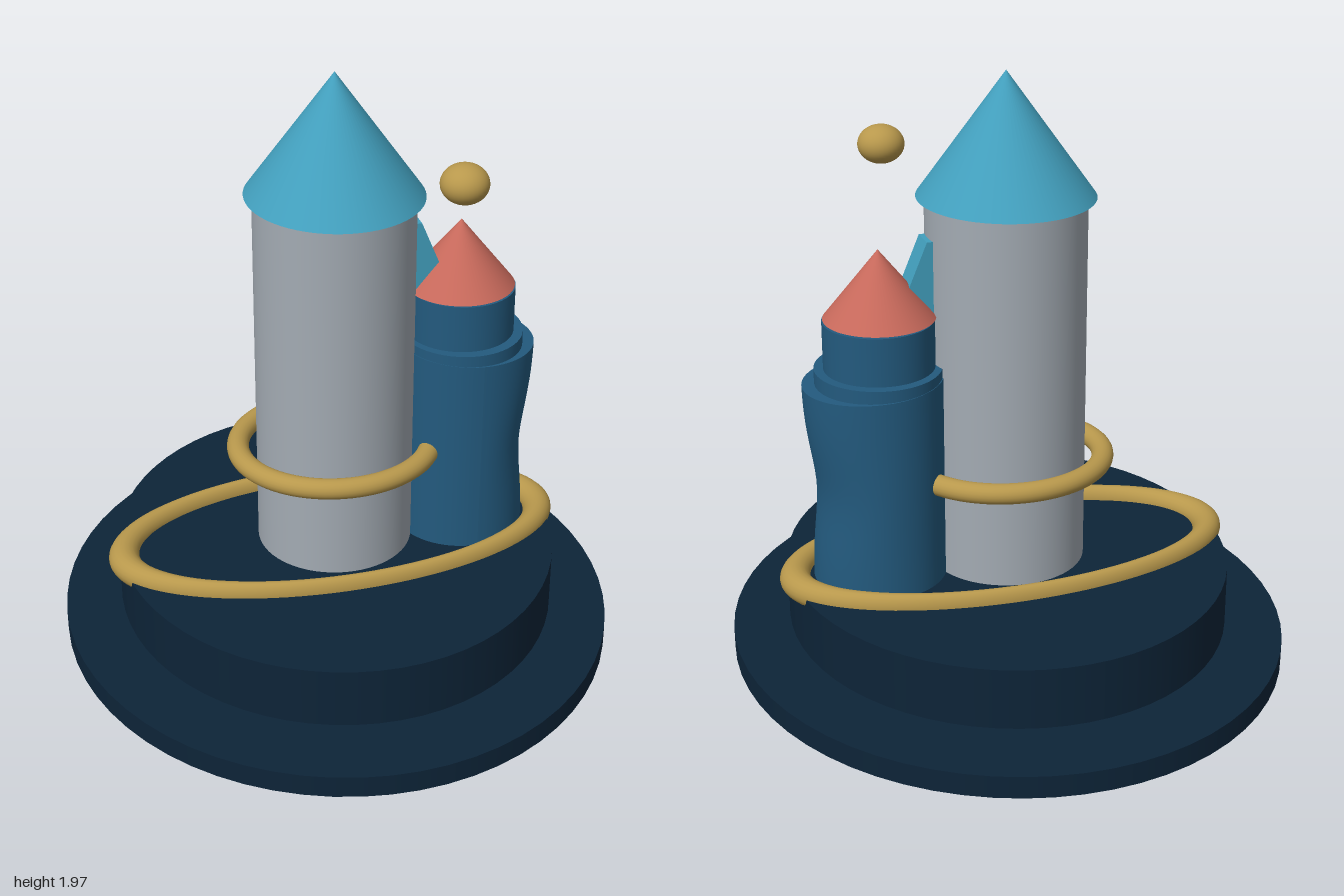
import * as THREE from 'three';

const mat = (name, color) => {
  const m = new THREE.MeshStandardMaterial({ color });
  m.name = name;
  return m;
};

export function createModel() {
  const navy = mat('navy', 0x0d2438);
  const grey = mat('stone grey', 0xa3abb3);
  const teal = mat('teal', 0x429fbd);
  const blue = mat('blue', 0x235a7e);
  const coral = mat('coral', 0xc7695b);
  const gold = mat('gold', 0xb8984c);

  const model = new THREE.Group();
  model.name = 'towers';
  const add = (name, geometry, material, x = 0, y = 0, z = 0) => {
    const mesh = new THREE.Mesh(geometry, material);
    mesh.name = name;
    mesh.position.set(x, y, z);
    model.add(mesh);
    return mesh;
  };

  // Upright elliptical cylinder or cone between two heights
  const drum = (rx, rz, y0, y1, top = 1) =>
    new THREE.CylinderGeometry(top, 1, y1 - y0, 64).scale(rx, 1, rz).translate(0, (y0 + y1) / 2, 0);

  // Horizontal ring, stretched along each axis
  const ring = (radius, tube, sx, sy, sz) =>
    new THREE.TorusGeometry(radius, tube, 20, 96).rotateX(Math.PI / 2).scale(sx, sy, sz);

  // Floating two-step oval base
  add('lowerBase', drum(0.925, 1, 0, 0.075), navy);
  add('upperBase', drum(0.735, 0.795, 0.11, 0.315), navy);

  // Main tower and roof
  add('mainTower', drum(0.26, 0.26, 0.3, 1.57), grey);
  add('mainRoof', drum(0.285, 0.305, 1.565, 1.965, 0), teal);

  // Gold rings and floating ball
  add('baseRing', ring(0.341, 0.024, 2.13, 1.9, 1), gold, 0, 0.315, 0);
  add('towerRing', ring(0.3, 0.034, 1.08, 1, 0.98), gold, 0, 0.665, 0);
  add('ball', new THREE.SphereGeometry(0.076, 32, 24).scale(1, 0.83, 1), gold, 0.325, 1.683, 0.293);

  // Side tower body: outer side pinched in the middle and flared at the top
  const body = new THREE.CylinderGeometry(0.22, 0.22, 0.69, 64, 24).translate(0, 0.655, 0);
  const pos = body.attributes.position;
  for (let i = 0; i < pos.count; i++) {
    const x = pos.getX(i), y = pos.getY(i);
    const outer = Math.max(0, x / 0.22);
    const pinch = -0.022 * Math.exp(-(((y - 0.62) / 0.17) ** 2));
    const flare = 0.016 * THREE.MathUtils.smoothstep(y, 0.62, 1);
    pos.setX(i, x + outer * (pinch + flare));
    // Rim falls slightly towards the outer side
    if (y > 0.99) pos.setY(i, y - 0.01 * (x / 0.22));
  }
  body.computeVertexNormals();
  add('sideTowerBody', body, blue, 0.441, 0, 0);
  add('sideTowerCollar', drum(0.205, 0.215, 0.97, 1.04), blue, 0.43, 0, 0);
  add('sideTowerTop', drum(0.179, 0.18, 1.0, 1.2), blue, 0.426, 0, 0);
  add('sideRoof', drum(0.18, 0.18, 1.205, 1.43, 0), coral, 0.422, 0, 0);

  // Sloping buttress between the towers
  const wedge = new THREE.Shape();
  wedge.moveTo(0.24, 1.2);
  wedge.lineTo(0.38, 1.2);
  wedge.lineTo(0.275, 1.45);
  wedge.lineTo(0.24, 1.45);
  wedge.closePath();
  add('buttress', new THREE.ExtrudeGeometry(wedge, { depth: 0.09, bevelEnabled: false }), teal, 0, 0, -0.045);

  return model;
}
